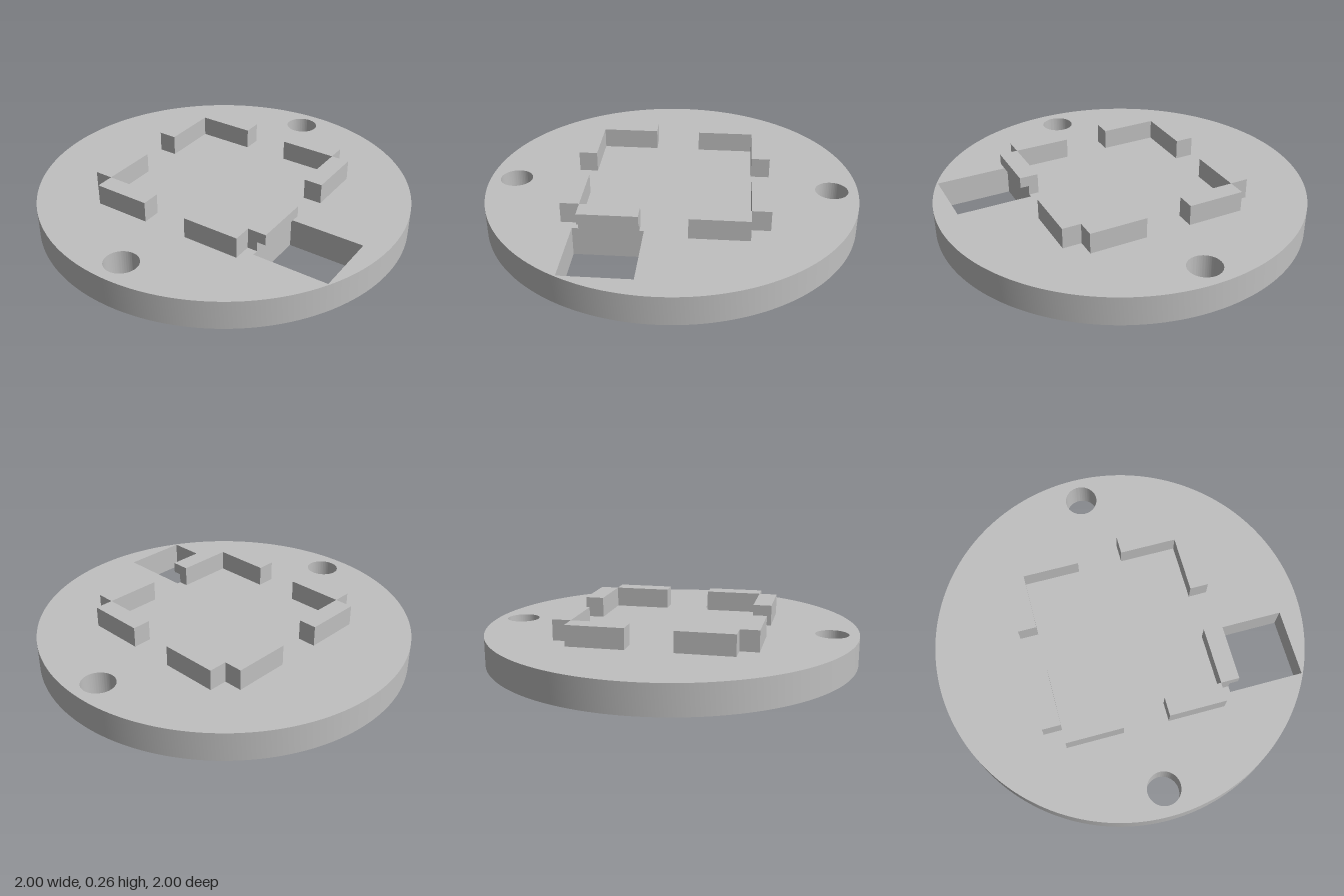
import * as THREE from 'three';
import { toCreasedNormals } from 'three/addons/utils/BufferGeometryUtils.js';

const BASE = 0.155, TOP = 0.265;   // plate top and block top heights
const NEAR = 0.122, IN = 0.427, OUT = 0.526; // block extents from the centre lines

const path = (points) => points.map(([x, y]) => new THREE.Vector2(x, y));

export function createModel() {
  const model = new THREE.Group();
  model.name = 'mountingPlate';
  const grey = new THREE.MeshStandardMaterial({ color: 0xc0c0c0 });
  grey.name = 'grey';

  const add = (name, geometry) => {
    const mesh = new THREE.Mesh(geometry, grey);
    mesh.name = name;
    model.add(mesh);
    return mesh;
  };

  // Round plate with two screw holes and a rectangular opening
  const disc = new THREE.Shape().absarc(0, 0, 1, 0, Math.PI * 2);
  for (const z of [-0.86, 0.858]) {
    disc.holes.push(new THREE.Path().absarc(0, z, 0.088, 0, Math.PI * 2, true));
  }
  disc.holes.push(new THREE.Path(path([[0.48, 0.1], [0.48, 0.46], [0.88, 0.46], [0.88, 0.1], [0.48, 0.1]])));
  const plate = new THREE.ExtrudeGeometry(disc, { depth: BASE, bevelEnabled: false, curveSegments: 96 });
  plate.rotateX(Math.PI / 2).translate(0, BASE, 0);
  add('plate', toCreasedNormals(plate, 0.5));

  // Pairs of locating blocks at the four corners
  const long = IN - NEAR, thick = OUT - IN, height = TOP - BASE;
  const mid = (IN + NEAR) / 2, edge = (OUT + IN) / 2, y = (TOP + BASE) / 2;
  for (const sx of [-1, 1]) {
    for (const sz of [-1, 1]) {
      add('crossBlock', new THREE.BoxGeometry(long, height, thick)).position.set(sx * mid, y, sz * edge);
      if (sx > 0 && sz > 0) continue; // the notched block stands here
      add('sideBlock', new THREE.BoxGeometry(thick, height, long)).position.set(sx * edge, y, sz * mid);
    }
  }

  // Side block undercut where it overhangs the opening
  const profile = new THREE.Shape(path([
    [IN, BASE], [0.48, BASE], [0.48, 0.207], [OUT, 0.207], [OUT, TOP], [IN, TOP],
  ]));
  add('notchedBlock', new THREE.ExtrudeGeometry(profile, { depth: long, bevelEnabled: false })).position.z = NEAR;

  return model;
}
